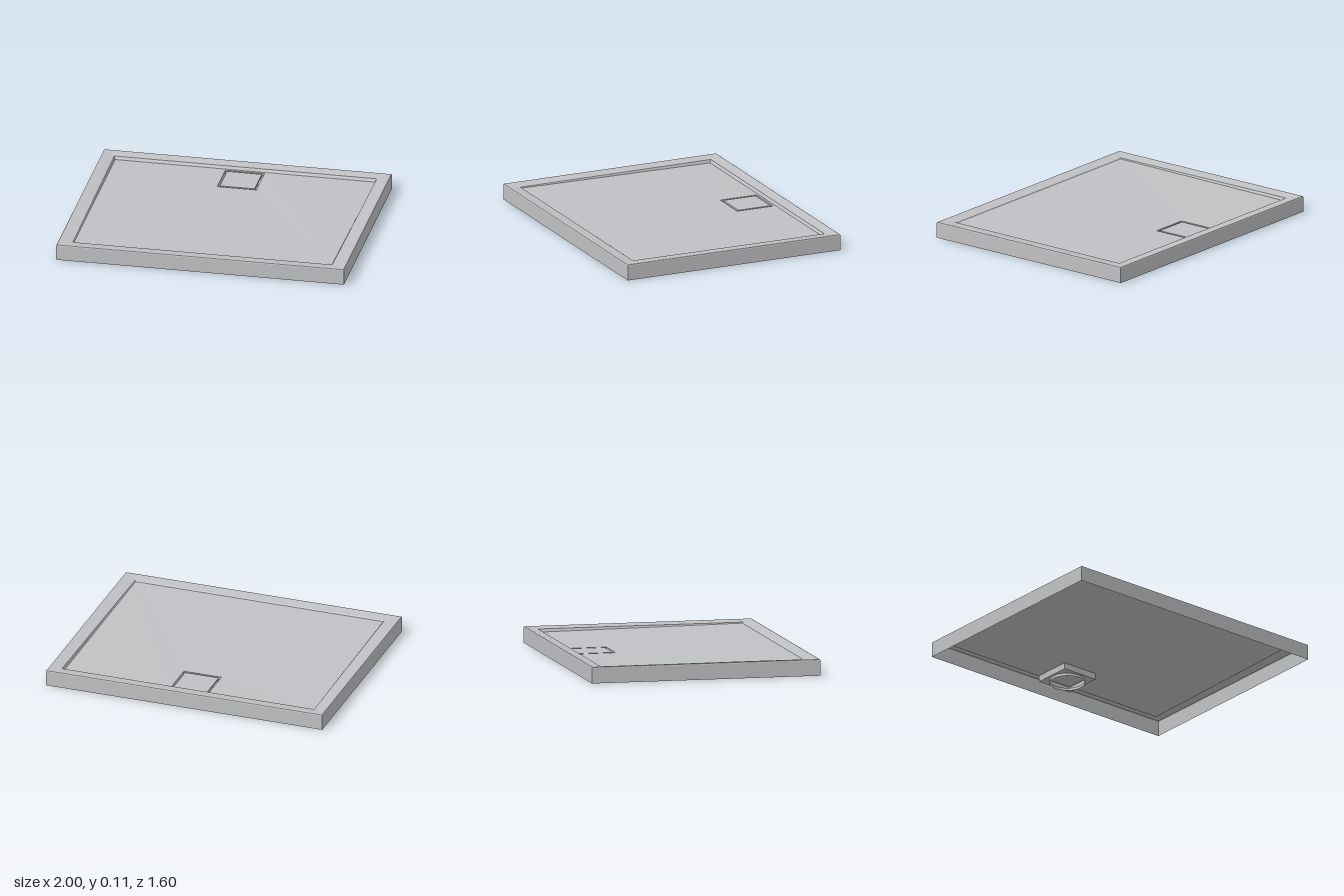
import * as THREE from 'three';

const material = new THREE.MeshStandardMaterial({ color: 0xc0c1c4, side: THREE.DoubleSide });
material.name = 'light grey acrylic';

// Four-cornered ring: half widths and heights may differ between back and front
function ring(zBack, zFront, xBack, yBack, xFront = xBack, yFront = yBack) {
  return [[-xBack, yBack, zBack], [-xFront, yFront, zFront], [xFront, yFront, zFront], [xBack, yBack, zBack]];
}

// Flat-faced skin through successive rings
function loft(rings) {
  const pos = [];
  for (let r = 0; r < rings.length - 1; r++) {
    for (let i = 0; i < 4; i++) {
      const j = (i + 1) % 4;
      const a = rings[r][i], b = rings[r][j], c = rings[r + 1][j], d = rings[r + 1][i];
      pos.push(...a, ...b, ...c, ...a, ...c, ...d);
    }
  }
  const g = new THREE.BufferGeometry();
  g.setAttribute('position', new THREE.Float32BufferAttribute(pos, 3));
  g.computeVertexNormals();
  return g;
}

export function createModel() {
  const tray = new THREE.Group();
  tray.name = 'showerTray';
  const add = (name, geometry, x = 0, y = 0, z = 0) => {
    const mesh = new THREE.Mesh(geometry, material);
    mesh.name = name;
    mesh.position.set(x, y, z);
    tray.add(mesh);
    return mesh;
  };

  const drainZ = -0.563, holeHalf = 0.136, holeY = 0.078;
  const rimInner = ring(-0.718, 0.716, 0.912, 0.103, 0.902, 0.103);
  const floorOuter = ring(-0.708, 0.708, 0.904, 0.082, 0.896, 0.097);
  const square = (y, h = holeHalf) => ring(drainZ - h, drainZ + h, h, y);

  // Thin outer skirt with a softened top edge and a rim falling inwards
  add('skirtAndRim', loft([
    ring(-0.8, 0.8, 1, 0),
    ring(-0.8, 0.8, 1, 0.104),
    ring(-0.797, 0.797, 0.997, 0.11),
    ring(-0.79, 0.79, 0.99, 0.113),
    rimInner,
  ]));

  // Step down to the floor, deepest at the back
  add('innerStep', loft([rimInner, floorOuter]));

  // Floor falling in four planes towards the drain
  add('floor', loft([floorOuter, square(holeY)]));

  // Drain box hanging under the floor
  add('drainBox', loft([square(holeY), square(0.035)]));

  // Box bottom with a round outlet
  const bottom = new THREE.Shape([[-1, -1], [1, -1], [1, 1], [-1, 1]]
    .map(([x, y]) => new THREE.Vector2(x * holeHalf, y * holeHalf)));
  const outlet = new THREE.Path();
  outlet.absarc(0, 0, 0.12, 0, Math.PI * 2, true);
  bottom.holes.push(outlet);
  add('drainBottom', new THREE.ShapeGeometry(bottom, 24), 0, 0.035, drainZ).rotation.x = -Math.PI / 2;
  add('outletCollar', new THREE.CylinderGeometry(0.12, 0.12, 0.02, 48, 1, true), 0, 0.025, drainZ);

  // Square cover sitting flush, leaving a narrow slot around it
  add('drainCover', new THREE.BoxGeometry(0.242, 0.014, 0.242), 0, holeY - 0.007, drainZ);

  return tray;
}
